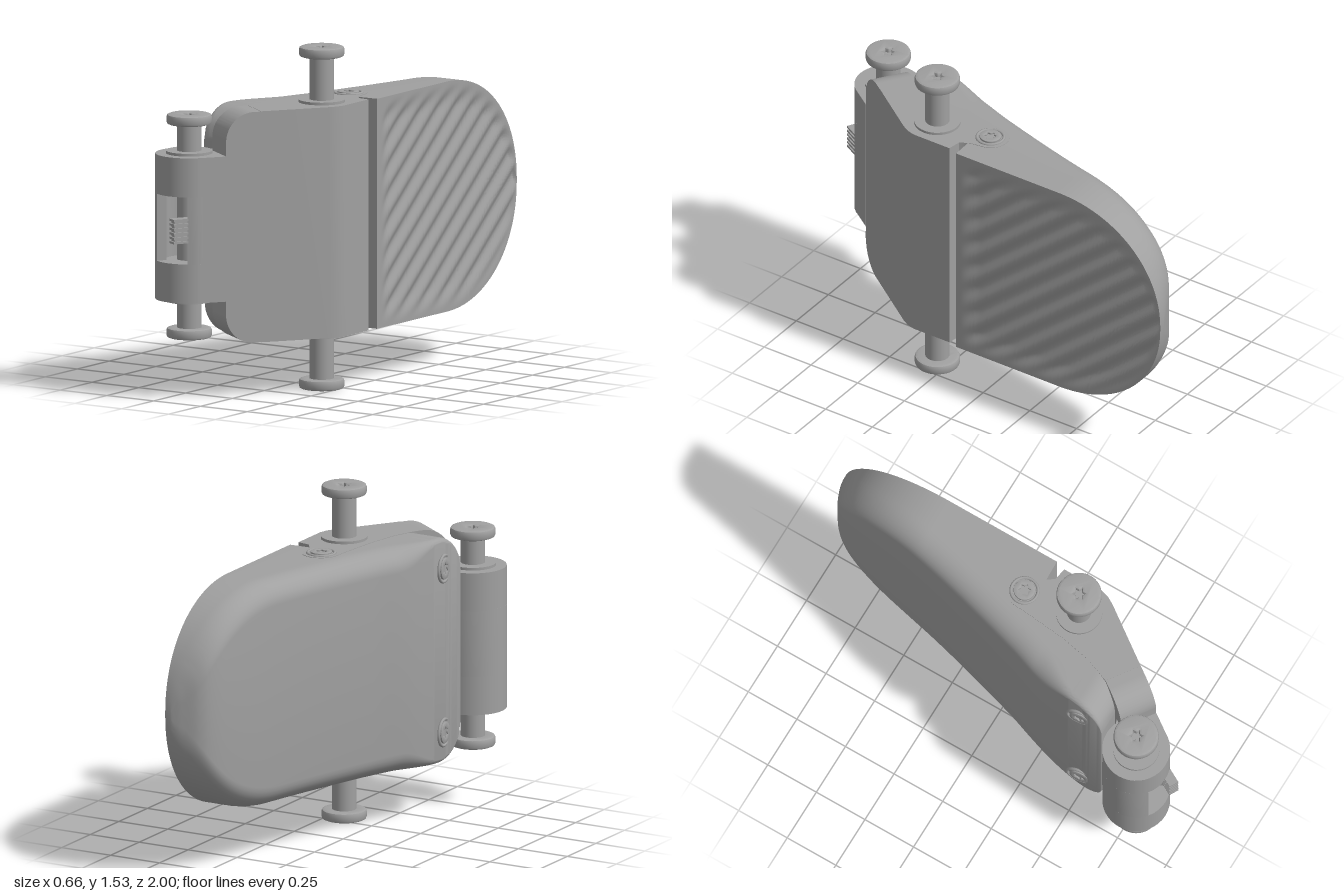
import * as THREE from 'three';
import { toCreasedNormals } from 'three/addons/utils/BufferGeometryUtils.js';

const MID = 0.765; // height of the symmetry plane
const metal = new THREE.MeshStandardMaterial({ color: 0xa0a0a0 });
metal.name = 'grey metal';

function add(parent, geo, name) {
  const mesh = new THREE.Mesh(geo, metal);
  mesh.name = name;
  parent.add(mesh);
  return mesh;
}

// Upright prism from a plan outline of [x, z] points
function prism(pts, y0, y1) {
  const shape = new THREE.Shape(pts.map(([x, z]) => new THREE.Vector2(x, -z)));
  const geo = new THREE.ExtrudeGeometry(shape, { depth: y1 - y0, bevelEnabled: false });
  return toCreasedNormals(geo.rotateX(-Math.PI / 2).translate(0, y0, 0), 0.6);
}

// Smooth curve through [z, value] pairs
function curve(t) {
  const slope = (i) => {
    const a = t[Math.max(i - 1, 0)], b = t[Math.min(i + 1, t.length - 1)];
    return (b[1] - a[1]) / (b[0] - a[0]);
  };
  return (z) => {
    let i = 0;
    while (i < t.length - 2 && z > t[i + 1][0]) i++;
    const w = t[i + 1][0] - t[i][0], s = THREE.MathUtils.clamp((z - t[i][0]) / w, 0, 1);
    const s2 = s * s, s3 = s2 * s;
    return (2 * s3 - 3 * s2 + 1) * t[i][1] + (s3 - 2 * s2 + s) * w * slope(i)
      + (3 * s2 - 2 * s3) * t[i + 1][1] + (s3 - s2) * w * slope(i + 1);
  };
}

// Surface through rows of points
function skin(rows, crease) {
  const n = rows[0].length, index = [];
  for (let j = 0; j < rows.length - 1; j++)
    for (let i = 0; i < n - 1; i++) {
      const a = j * n + i, b = a + 1, c = a + n, d = c + 1;
      index.push(a, b, c, b, d, c);
    }
  const geo = new THREE.BufferGeometry();
  geo.setAttribute('position', new THREE.Float32BufferAttribute(rows.flat(2), 3));
  geo.setIndex(index);
  return toCreasedNormals(geo, crease);
}

const backX = curve([[-1, 0.3], [-0.985, 0.255], [-0.95, 0.185], [-0.9, 0.145], [-0.8, 0.115],
  [-0.5, 0.06], [-0.25, 0], [0.1, -0.1], [0.31, -0.17], [0.5, -0.2], [0.65, -0.22]]);
const seamX = curve([[0.1, 0.05], [0.3, 0.03], [0.45, 0], [0.56, -0.05], [0.65, -0.1]]);

function halfHeight(z) {
  if (z < -0.45) return 0.515 * Math.pow(Math.max(0, 1 - Math.pow((-z - 0.45) / 0.55, 2.1)), 1 / 2.1);
  if (z > 0.51) return 0.375 + Math.sqrt(Math.max(0, 0.0196 - (z - 0.51) ** 2));
  return 0.515;
}

// Lever: rounded back shell and a front face with diagonal grip grooves
function makeLever(group) {
  const back = [], front = [], steps = 210;
  const smooth = THREE.MathUtils.smoothstep;
  for (let j = 0; j <= steps; j++) {
    const z = -1 + 1.65 * Math.pow(j / steps, 1.3);
    const h = halfHeight(z), b = backX(z), xf = z <= 0.1 ? 0.325 : seamX(z) + 0.025;
    const k = 1 - 0.75 * smooth(z, 0.25, 0.5);
    const rx = Math.min(0.12 * k, 0.8 * (xf - b)), ry = Math.min(0.1 * k, 0.6 * h);
    const half = [[xf, h]];
    for (let i = 0; i <= 8; i++) {
      const a = (i / 8) * Math.PI / 2;
      half.push([b + rx * (1 - Math.sin(a)), h - ry * (1 - Math.cos(a))]);
    }
    const loop = half.concat(half.slice().reverse().map(([x, y]) => [x, -y]));
    back.push(loop.map(([x, y]) => [x, MID + y, z]));
    const row = [];
    for (let i = 0; i <= 100; i++) {
      const y = h * (i / 50 - 1);
      const mask = smooth(h - Math.abs(y), 0.01, 0.12) * (1 - smooth(z, -0.03, 0.07));
      const wave = 0.5 - 0.5 * Math.cos((z * 0.643 + y * 0.766) / 0.095 * Math.PI * 2);
      row.push([xf - 0.016 * mask * wave, MID + y, z]);
    }
    front.push(row);
  }
  const end = back[steps];
  back.push(end.map(([, y, z]) => [end[0][0], y, z])); // flat end cap
  add(group, skin(back, 0.6), 'leverShell');
  add(group, skin(front, 0.9), 'gripFace');
}

// Disc with a six-lobed socket, axis +y, standing on y = 0
function socketDisc(r, height, bevel, star) {
  const shape = new THREE.Shape().absarc(0, 0, r - bevel, 0, Math.PI * 2);
  const lobes = [];
  for (let i = 0; i < 36; i++) {
    const a = (i / 36) * Math.PI * 2, q = star * (0.86 + 0.16 * Math.cos(6 * a));
    lobes.push(new THREE.Vector2(q * Math.cos(a), q * Math.sin(a)));
  }
  shape.holes.push(new THREE.Path(lobes.reverse()));
  const geo = new THREE.ExtrudeGeometry(shape, { depth: height - 2 * bevel, bevelSize: bevel,
    bevelThickness: bevel, bevelSegments: 2, curveSegments: 24 });
  return toCreasedNormals(geo.translate(0, 0, bevel).rotateX(-Math.PI / 2), 0.5);
}

function cylinder(r, y0, y1) {
  return new THREE.CylinderGeometry(r, r, y1 - y0, 40).translate(0, (y0 + y1) / 2, 0);
}

// Projecting half of a pin, measured up from the middle plane
function makePin(base, top) {
  const g = new THREE.Group();
  add(g, cylinder(0.054, 0, top - 0.02), 'pinShaft');
  add(g, cylinder(0.103, base - 0.01, base + 0.012), 'pinWasher');
  add(g, socketDisc(0.1, 0.045, 0.011, 0.04), 'pinHead').position.y = top - 0.045;
  return g;
}

// Small flush screw with a raised rim
function makeScrew() {
  const g = new THREE.Group();
  add(g, new THREE.TorusGeometry(0.06, 0.007, 8, 36).rotateX(Math.PI / 2), 'screwRim');
  add(g, socketDisc(0.048, 0.012, 0.003, 0.03).translate(0, -0.003, 0), 'screwHead');
  add(g, cylinder(0.04, -0.03, 0.001), 'screwCore');
  return g;
}

export function createModel() {
  const model = new THREE.Group();
  model.name = 'hingedLever';
  makeLever(model);

  // Bracket body around the pivot
  const outline = [[0.31, 0.14], [0.25, 0.13], [0.225, 0.09]];
  for (let i = 0; i <= 10; i++) {
    const a = (i / 10) * Math.PI;
    outline.push([0.135 + 0.082 * Math.cos(a), 0.035 - 0.08 * Math.sin(a)]);
  }
  outline.push([0.05, 0.1], [0.03, 0.3], [0, 0.45], [-0.045, 0.565],
    [0.095, 0.662], [0.28, 0.405], [0.3, 0.37], [0.31, 0.33]);
  add(model, prism(outline, MID - 0.517, MID + 0.517), 'bracketBody');

  // Slanted front plate with rounded corners
  const u0 = -0.2, u1 = -0.656, h = 0.516, r = 0.13;
  const plate = new THREE.Shape();
  plate.moveTo(u0, -h).lineTo(u0, h).lineTo(u1 + r, h);
  plate.absarc(u1 + r, h - r, r, Math.PI / 2, Math.PI, false);
  plate.lineTo(u1, -h + r);
  plate.absarc(u1 + r, -h + r, r, Math.PI, Math.PI * 1.5, false);
  const plateGeo = new THREE.ExtrudeGeometry(plate, { depth: 0.17, bevelEnabled: false, curveSegments: 14 });
  plateGeo.translate(0, 0, 0.286).applyMatrix4(new THREE.Matrix4().makeBasis(
    new THREE.Vector3(0.571, 0, -0.821), new THREE.Vector3(0, 1, 0), new THREE.Vector3(0.821, 0, 0.571)));
  add(model, toCreasedNormals(plateGeo.translate(0, MID, 0), 0.5), 'bracketPlate');

  // Hinge barrel: solid ends and a middle sleeve with a window
  const hx = -0.19, hz = 0.81, R = 0.15, slot = 0.15, len = 0.325;
  add(model, prism([[0, 0.8], [-0.075, 0.906], [-0.09, 0.81], [-0.16, 0.68], [-0.1, 0.66]],
    MID - len, MID + len), 'barrelWeb');
  for (const s of [-1, 1]) {
    const cap = add(model, cylinder(R, slot, len), 'barrelEnd');
    cap.position.set(hx, MID, hz);
    if (s < 0) cap.rotation.x = Math.PI;
  }
  const sleeve = [], a0 = 0.55, a1 = Math.PI * 2 - 0.66;
  for (let i = 0; i <= 72; i++) {
    const a = a0 + (a1 - a0) * (i % 37) / 36, q = i < 37 ? R : 0.105;
    const b = i < 37 ? a : a1 - (a1 - a0) * (i - 37) / 36;
    sleeve.push([hx + q * Math.sin(b), hz + q * Math.cos(b)]);
  }
  sleeve.push([hx + 0.105 * Math.sin(a0), hz + 0.105 * Math.cos(a0)]);
  add(model, prism(sleeve, MID - slot, MID + slot), 'barrelSleeve');

  // Ribbed catch poking out of the window
  const catchGroup = new THREE.Group();
  catchGroup.name = 'ribbedCatch';
  add(catchGroup, new THREE.BoxGeometry(0.03, 0.1, 0.1), 'catchCore');
  for (let i = 0; i < 6; i++)
    add(catchGroup, new THREE.BoxGeometry(0.045, 0.01, 0.115), 'catchRib').position.y = (i - 2.5) * 0.02;
  catchGroup.position.set(-0.135, MID, 0.937);
  catchGroup.rotation.y = -0.5;
  model.add(catchGroup);

  // Pins and screws, mirrored above and below
  for (const s of [1, -1]) {
    const parts = [
      [makePin(len, 0.5), 'hingePin', hx, 0, hz],
      [makePin(0.517, MID), 'pivotPin', 0.17, 0, 0.3],
      [makeScrew(), 'pivotScrew', 0.135, 0.517, 0.04],
    ];
    for (const [g, name, x, y, z] of parts) {
      g.name = name;
      g.position.set(x, MID + s * y, z);
      if (s < 0) g.rotation.x = Math.PI;
      model.add(g);
    }
    const screw = makeScrew();
    screw.name = 'coverScrew';
    screw.position.set(backX(0.53) - 0.002, MID + s * 0.375, 0.53);
    screw.rotation.z = Math.PI / 2;
    screw.rotation.y = 0.13;
    model.add(screw);
  }
  return model;
}
